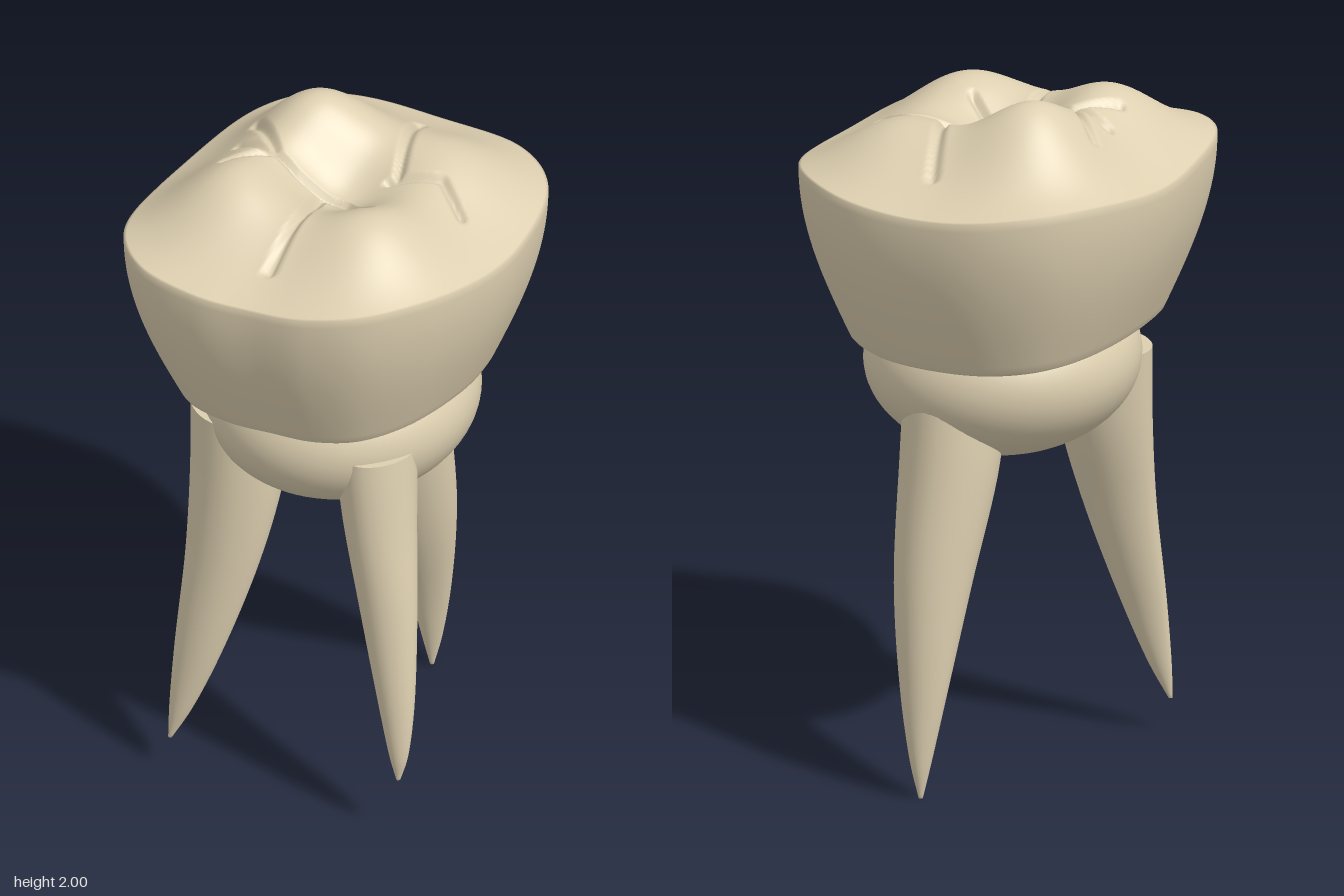
import * as THREE from 'three';

const enamel = new THREE.MeshStandardMaterial({ color: 0xddcfb0 });
enamel.name = 'ivory';

// Skin a list of equal-length rings, ordered bottom to top on the outside.
function loft(rings) {
  const n = rings[0].length, pos = [], idx = [];
  rings.forEach(r => r.forEach(p => pos.push(p.x, p.y, p.z)));
  for (let j = 0; j < rings.length - 1; j++) {
    for (let i = 0; i < n; i++) {
      const a = j * n + i, b = j * n + (i + 1) % n;
      idx.push(a, a + n, b, b, a + n, b + n);
    }
  }
  const g = new THREE.BufferGeometry();
  g.setAttribute('position', new THREE.Float32BufferAttribute(pos, 3));
  g.setIndex(idx);
  g.computeVertexNormals();
  return g;
}

// Crown outline seen from above (x, z)
const outline = [
  [-0.04, -0.562], [0.265, -0.526], [0.45, -0.373], [0.51, -0.12], [0.492, 0.1], [0.425, 0.31],
  [0.315, 0.452], [0.167, 0.52], [0, 0.54], [-0.17, 0.559], [-0.35, 0.528], [-0.469, 0.404],
  [-0.513, 0.134], [-0.497, -0.134], [-0.443, -0.327], [-0.354, -0.455], [-0.22, -0.533],
];

// Cusps: x, z, height, spread. The last one is the central pit.
const cusps = [
  [-0.17, -0.17, 0.178, 0.145], [-0.24, 0.2, 0.117, 0.145], [0.19, 0.18, 0.103, 0.145],
  [0.21, -0.24, 0.078, 0.145], [0, 0.01, -0.11, 0.12],
];

// Fissures on the chewing surface
const fissures = [
  [[-0.32, 0.015], [-0.12, 0.045], [0.03, 0.03], [0.14, 0.1]],
  [[-0.33, -0.1], [-0.2, 0.02]],
  [[-0.3, 0.13], [-0.2, 0.04]],
  [[-0.04, 0.05], [-0.01, 0.2], [0, 0.41]],
  [[0.02, -0.41], [0.13, -0.09]],
  [[0.11, -0.075], [0.25, -0.125], [0.35, -0.055]],
];

function fissureDistance(x, z) {
  let best = 1;
  for (const path of fissures) {
    for (let i = 0; i < path.length - 1; i++) {
      const [ax, az] = path[i], dx = path[i + 1][0] - ax, dz = path[i + 1][1] - az;
      const k = THREE.MathUtils.clamp(((x - ax) * dx + (z - az) * dz) / (dx * dx + dz * dz), 0, 1);
      best = Math.min(best, Math.hypot(x - ax - k * dx, z - az - k * dz));
    }
  }
  return best;
}

const rimHeight = p => 1.762 - 0.015 * Math.cos(4 * Math.atan2(p.z, p.x));

// Height of the chewing surface; t runs from 0 at the centre to 1 at the rim
function biteHeight(p, x, z, t) {
  let bumps = 0;
  for (const [cx, cz, h, s] of cusps) {
    bumps += h * Math.exp(-((x - cx) ** 2 + (z - cz) ** 2) / (2 * s * s));
  }
  const rim = THREE.MathUtils.lerp(1.762, rimHeight(p), t * t);
  const groove = 0.022 * Math.max(0, 1 - fissureDistance(x, z) / 0.02);
  return rim + 0.078 * (1 - t * t) + bumps * (1 - t ** 6) - groove;
}

function crownGeometry() {
  const curve = new THREE.CatmullRomCurve3(outline.map(([x, z]) => new THREE.Vector3(x, 0, z)), true);
  const edge = curve.getSpacedPoints(240).slice(0, -1);
  const baseHeight = p => 1.255 + 0.025 * (p.x / 0.51) ** 2;
  const ring = (s, height) => edge.map(p => new THREE.Vector3(p.x * s, height(p), p.z * s));
  // underside ledge turning softly into the wall
  const rings = [ring(0.5, baseHeight), ring(0.74, baseHeight)];
  // bulging wall
  for (let i = 0; i <= 20; i++) {
    const k = i / 20;
    rings.push(ring(0.755 + 0.245 * Math.sin(k * Math.PI / 2),
      p => THREE.MathUtils.lerp(baseHeight(p) + 0.006, rimHeight(p), k)));
  }
  // chewing surface
  for (let i = 71; i >= 0; i--) {
    const t = i / 72;
    rings.push(ring(t, p => biteHeight(p, p.x * t, p.z * t, t)));
  }
  return loft(rings);
}

// Roots from tip to top: y, centre x, centre z, radius x, radius z
const roots = {
  frontRightRoot: [
    [0.1, -0.345, 0.36, 0.006, 0.006], [0.2, -0.32, 0.346, 0.034, 0.024],
    [0.4, -0.278, 0.32, 0.072, 0.046], [0.7, -0.228, 0.27, 0.112, 0.078],
    [0.95, -0.208, 0.226, 0.138, 0.112], [1.175, -0.208, 0.2, 0.147, 0.135],
  ],
  frontLeftRoot: [
    [0.18, 0.37, 0.34, 0.006, 0.006], [0.25, 0.368, 0.335, 0.027, 0.021],
    [0.4, 0.35, 0.315, 0.053, 0.041], [0.7, 0.298, 0.27, 0.087, 0.072],
    [0.95, 0.25, 0.23, 0.106, 0.106], [1.18, 0.22, 0.2, 0.115, 0.135],
  ],
  backRoot: [
    [0, 0.042, -0.44, 0.006, 0.006], [0.1, 0.044, -0.436, 0.03, 0.029],
    [0.3, 0.046, -0.413, 0.068, 0.058], [0.6, 0.047, -0.353, 0.111, 0.106],
    [0.95, 0.032, -0.273, 0.143, 0.144], [1.16, 0.03, -0.25, 0.143, 0.145],
  ],
};

function rootGeometry(sections) {
  const centres = new THREE.CatmullRomCurve3(sections.map(s => new THREE.Vector3(s[1], s[0], s[2])));
  const radii = new THREE.CatmullRomCurve3(sections.map(s => new THREE.Vector3(s[3], s[0], s[4])));
  const ring = (t, s) => {
    const c = centres.getPoint(t), r = radii.getPoint(t);
    return Array.from({ length: 40 }, (_, i) => {
      const a = i / 40 * Math.PI * 2;
      const flute = s * (1 - 0.03 * (1 - Math.cos(4 * a)) / 2);
      return new THREE.Vector3(c.x + r.x * flute * Math.cos(a), c.y, c.z + r.z * flute * Math.sin(a));
    });
  };
  const rings = [ring(0, 0)];
  for (let i = 0; i <= 40; i++) rings.push(ring(i / 40, 1));
  rings.push(ring(1, 1), ring(1, 0)); // flat top cap
  return loft(rings);
}

export function createModel() {
  const tooth = new THREE.Group();
  tooth.name = 'molar';
  const add = (name, geometry) => {
    const mesh = new THREE.Mesh(geometry, enamel);
    mesh.name = name;
    tooth.add(mesh);
    return mesh;
  };

  add('crown', crownGeometry());

  // rounded neck under the crown
  const neck = add('neck', new THREE.SphereGeometry(1, 64, 40));
  neck.scale.set(0.383, 0.268, 0.412);
  neck.position.y = 1.18;

  for (const [name, sections] of Object.entries(roots)) add(name, rootGeometry(sections));
  return tooth;
}
